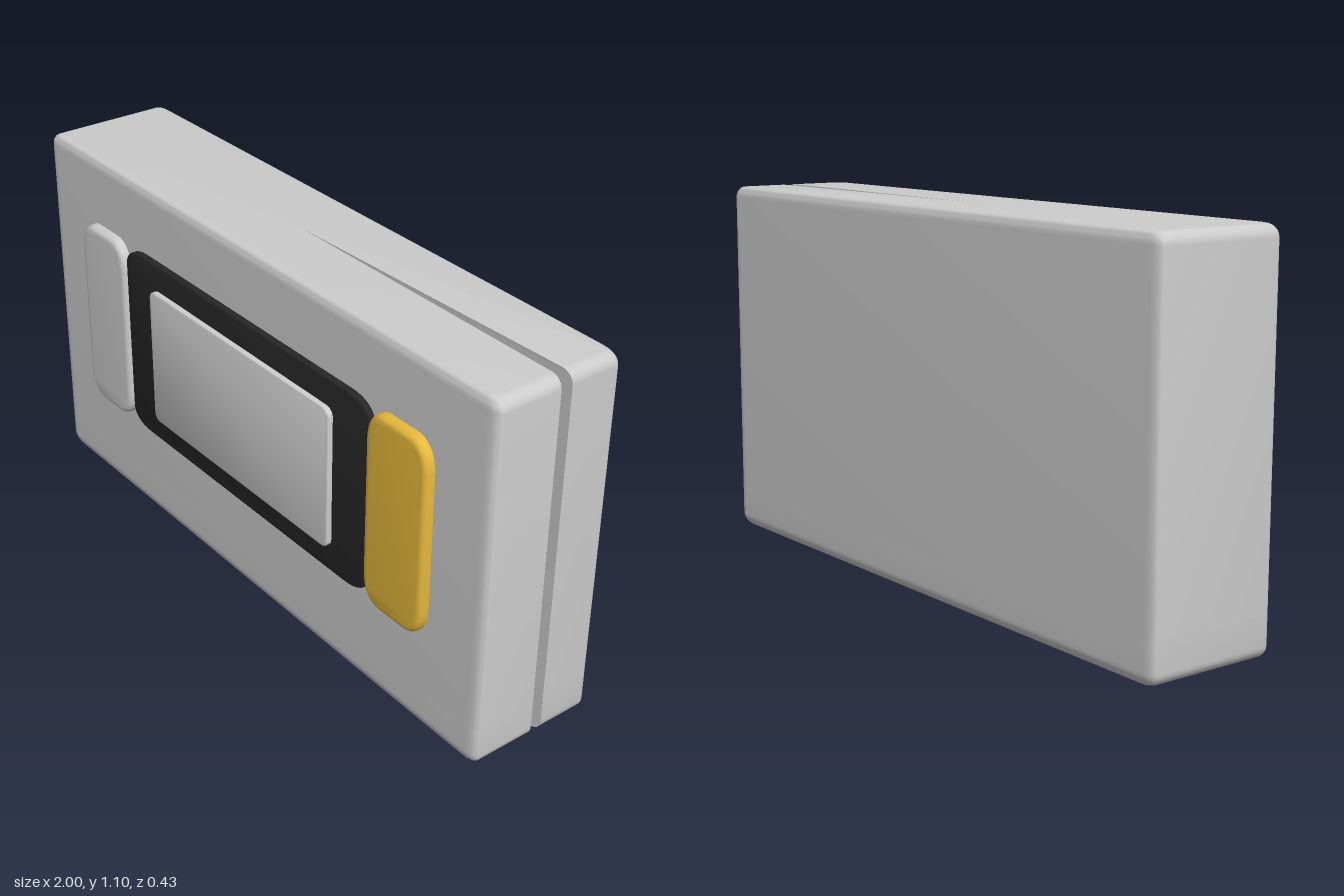
import * as THREE from 'three';
import { toCreasedNormals } from 'three/addons/utils/BufferGeometryUtils.js';

const grey = new THREE.MeshStandardMaterial({ name: 'casing grey', color: 0xcccccc });
const black = new THREE.MeshStandardMaterial({ name: 'bezel black', color: 0x262626 });
const yellow = new THREE.MeshStandardMaterial({ name: 'button yellow', color: 0xe5b93b });

const HEIGHT = 1.1, BACK = -0.215, FRONT = 0.182;
const MID = (BACK + FRONT) / 2, HALF = (FRONT - BACK) / 2;
const PORT_DEPTH = 0.12, ROUND = 0.035, RINGS = 6;

// Plan outline (x, -z) with the wedge slot, widened by the port when asked
function planOutline(withPort) {
  const s = new THREE.Shape(), rx = 0.04, rz = 0.018;
  const f = -FRONT, b = -BACK;
  s.moveTo(-1 + rx, f);
  s.lineTo(1 - rx, f);
  s.quadraticCurveTo(1, f, 1, f + rz);
  s.lineTo(1, 0.015);
  if (withPort) {
    s.lineTo(0.16, 0.018);
    s.lineTo(0.16, -0.03);
    s.lineTo(-0.16, -0.03);
    s.lineTo(-0.16, 0.032);
    s.lineTo(0.16, 0.032);
    s.lineTo(0.16, 0.0235);
  } else {
    s.lineTo(0, 0.018);
  }
  s.lineTo(1, 0.051);
  s.lineTo(1, b - rz);
  s.quadraticCurveTo(1, b, 1 - rx, b);
  s.lineTo(-1 + rx, b);
  s.quadraticCurveTo(-1, b, -1, b - rz);
  s.lineTo(-1, f + rz);
  s.quadraticCurveTo(-1, f, -1 + rx, f);
  return s;
}

// Casing section whose outer end (top or bottom) is rounded by shrinking the rings
function casingSection(outline, length, atTop) {
  const steps = RINGS + 1;
  const g = new THREE.ExtrudeGeometry(outline, { depth: steps, steps, bevelEnabled: false, curveSegments: 6 });
  g.rotateX(-Math.PI / 2);
  const p = g.attributes.position;
  for (let i = 0; i < p.count; i++) {
    const level = Math.round(p.getY(i));
    const ring = atTop ? steps - level : level;
    const a = Math.min(ring / RINGS, 1) * Math.PI / 2;
    const inset = 1 - Math.sin(a);
    const d = ring > RINGS ? length : ROUND * (1 - Math.cos(a));
    p.setXYZ(i,
      p.getX(i) * (1 - 0.035 * inset),
      atTop ? HEIGHT - d : d,
      MID + (p.getZ(i) - MID) * (1 - 0.015 / HALF * inset));
  }
  return toCreasedNormals(g, 0.5);
}

// Soft-edged plate set into the front face
function plate(name, material, [x0, x1], [y0, y1], front, rx, ry, bevel) {
  const s = new THREE.Shape();
  s.moveTo(x0 + rx, y0);
  s.lineTo(x1 - rx, y0);
  s.bezierCurveTo(x1 - rx * 0.4, y0, x1, y0 + ry * 0.4, x1, y0 + ry);
  s.lineTo(x1, y1 - ry);
  s.bezierCurveTo(x1, y1 - ry * 0.4, x1 - rx * 0.4, y1, x1 - rx, y1);
  s.lineTo(x0 + rx, y1);
  s.bezierCurveTo(x0 + rx * 0.4, y1, x0, y1 - ry * 0.4, x0, y1 - ry);
  s.lineTo(x0, y0 + ry);
  s.bezierCurveTo(x0, y0 + ry * 0.4, x0 + rx * 0.4, y0, x0 + rx, y0);
  const back = FRONT - 0.03;
  const g = new THREE.ExtrudeGeometry(s, {
    depth: front - back - 2 * bevel, curveSegments: 8,
    bevelThickness: bevel, bevelSize: bevel, bevelOffset: -bevel, bevelSegments: 5,
  });
  g.translate(0, 0, back + bevel);
  const mesh = new THREE.Mesh(toCreasedNormals(g, 0.5), material);
  mesh.name = name;
  return mesh;
}

export function createModel() {
  const model = new THREE.Group();
  model.name = 'handheldDevice';

  // Casing: lower section holds the port recess, upper section closes it
  const casing = new THREE.Group();
  casing.name = 'casing';
  const lower = new THREE.Mesh(casingSection(planOutline(true), PORT_DEPTH, false), grey);
  lower.name = 'lowerCasing';
  const upper = new THREE.Mesh(casingSection(planOutline(false), HEIGHT - PORT_DEPTH, true), grey);
  upper.name = 'upperCasing';
  casing.add(lower, upper);
  model.add(casing);

  // Display and the two long buttons beside it
  const tall = [0.295, 0.893];
  model.add(
    plate('bezel', black, [-0.565, 0.565], tall, 0.201, 0.09, 0.055, 0.008),
    plate('screen', grey, [-0.42, 0.42], [0.375, 0.812], 0.217, 0.03, 0.025, 0.005),
    plate('rightButton', grey, [-0.8, -0.565], tall, 0.211, 0.07, 0.09, 0.018),
    plate('leftButton', yellow, [0.56, 0.797], tall, 0.211, 0.07, 0.09, 0.018),
  );
  return model;
}
